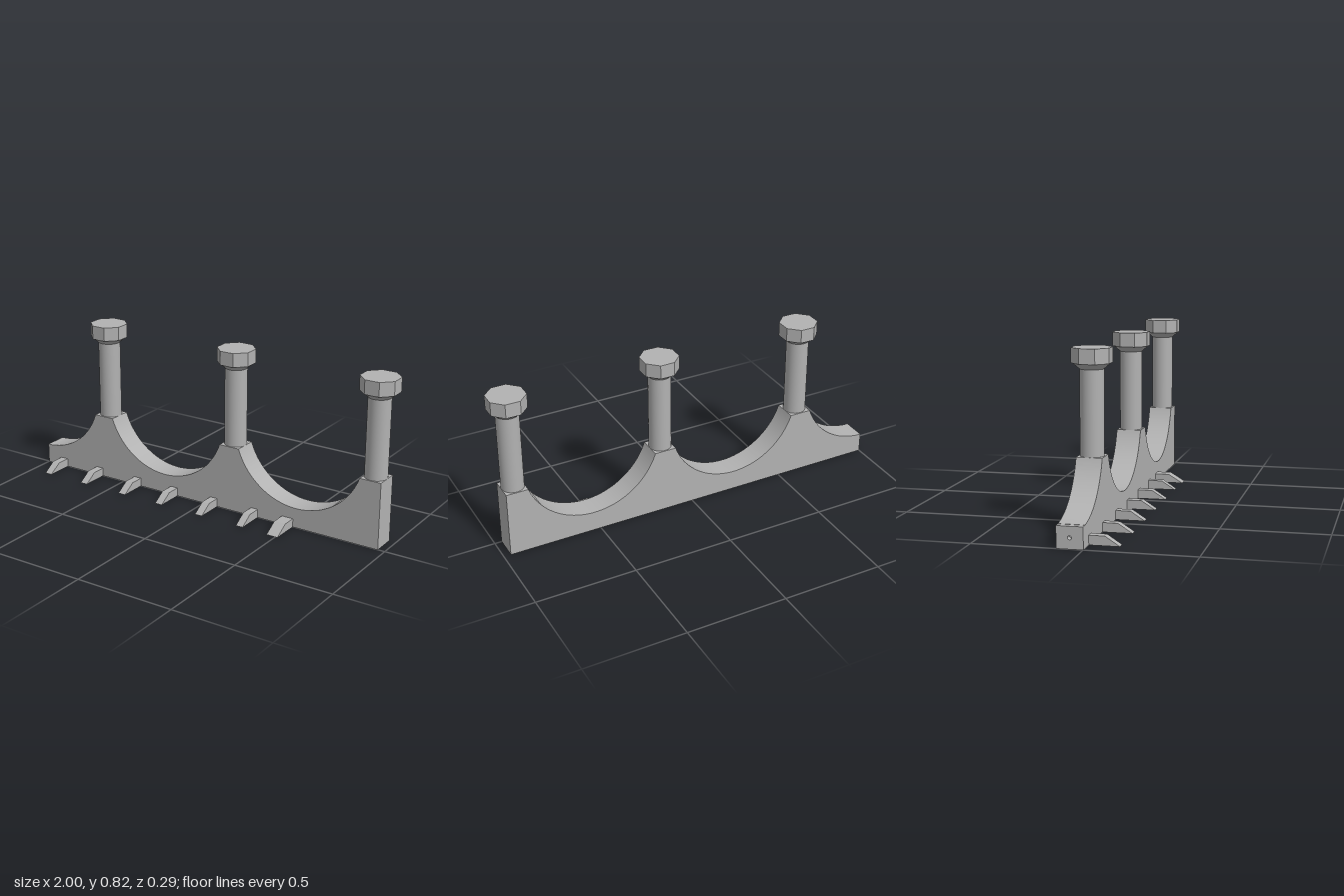
import * as THREE from 'three';
import { toCreasedNormals } from 'three/addons/utils/BufferGeometryUtils.js';

export function createModel() {
  const group = new THREE.Group();
  const grey = new THREE.MeshStandardMaterial({ color: 0xb2b2b2 });
  grey.name = 'plain grey';

  const add = (name, geometry, x = 0, y = 0, z = 0) => {
    const mesh = new THREE.Mesh(geometry, grey);
    mesh.name = name;
    mesh.position.set(x, y, z);
    group.add(mesh);
    return mesh;
  };

  const backZ = -0.118, depth = 0.12, midZ = -0.058;
  const posts = [-0.617, 0.147, 0.91];
  const topY = 0.333, lowY = 0.1;
  const endX = -0.97; // the last bit of the thin end is a block with a bore

  // Scalloped rail: round scoops between flat-topped seats for the posts
  const r = 0.346, cy = lowY + r;
  const half = Math.sqrt(r * r - (cy - topY) ** 2);
  const a = Math.atan2(topY - cy, half);
  const rail = new THREE.Shape();
  rail.moveTo(endX, 0);
  rail.lineTo(0.965, 0);
  rail.lineTo(0.965, topY);
  for (const cx of [0.529, -0.235]) rail.absarc(cx, cy, r, a, -Math.PI - a, true);
  rail.absarc(-1, cy, r, a, -Math.PI / 2 + Math.asin((endX + 1) / r), true);
  rail.closePath();
  const railGeo = new THREE.ExtrudeGeometry(rail, { depth, bevelEnabled: false, curveSegments: 40 });
  add('scallopedRail', toCreasedNormals(railGeo, 0.4), 0, 0, backZ);

  // Thin end of the rail with its small bore
  const end = new THREE.Shape();
  end.moveTo(-depth / 2, 0);
  end.lineTo(depth / 2, 0);
  end.lineTo(depth / 2, lowY);
  end.lineTo(-depth / 2, lowY);
  end.closePath();
  const bore = new THREE.Path();
  bore.absarc(0, 0.05, 0.009, 0, Math.PI * 2, true);
  end.holes.push(bore);
  const endGeo = new THREE.ExtrudeGeometry(end, { depth: endX + 1, bevelEnabled: false, curveSegments: 16 });
  endGeo.rotateY(Math.PI / 2);
  add('boredEnd', endGeo, -1, 0, midZ);

  // Round posts, each with a flared neck and an octagonal head
  const postGeo = new THREE.CylinderGeometry(0.055, 0.055, 0.405, 40);
  const neckGeo = new THREE.CylinderGeometry(0.087, 0.055, 0.027, 40);
  const headR = 0.0872 / Math.cos(Math.PI / 8);
  const headGeo = toCreasedNormals(
    new THREE.CylinderGeometry(headR, headR, 0.069, 8, 1, false, Math.PI / 8), 0.3);
  for (const x of posts) {
    add('post', postGeo, x, 0.5225, midZ);
    add('neck', neckGeo, x, 0.7365, midZ);
    add('octagonalHead', headGeo, x, 0.7845, midZ);
  }

  // Wedge-ended teeth along the front foot: [left edge, width, reach]
  const teeth = [
    [-0.911, 0.04, 0.14], [-0.674, 0.04, 0.14], [-0.429, 0.041, 0.14], [-0.2, 0.04, 0.14],
    [0.04, 0.04, 0.14], [0.277, 0.038, 0.14], [0.452, 0.06, 0.145],
  ];
  for (const [x, width, reach] of teeth) {
    // drawn with the shape's x running towards the back, then turned to lie along z
    const side = new THREE.Shape();
    side.moveTo(0, 0);
    side.lineTo(0, 0.043);
    side.lineTo(-0.073, 0.043);
    side.lineTo(-reach, 0);
    side.closePath();
    const geo = new THREE.ExtrudeGeometry(side, { depth: width, bevelEnabled: false });
    geo.rotateY(Math.PI / 2);
    add('tooth', geo, x, 0, 0);
  }
  return group;
}
